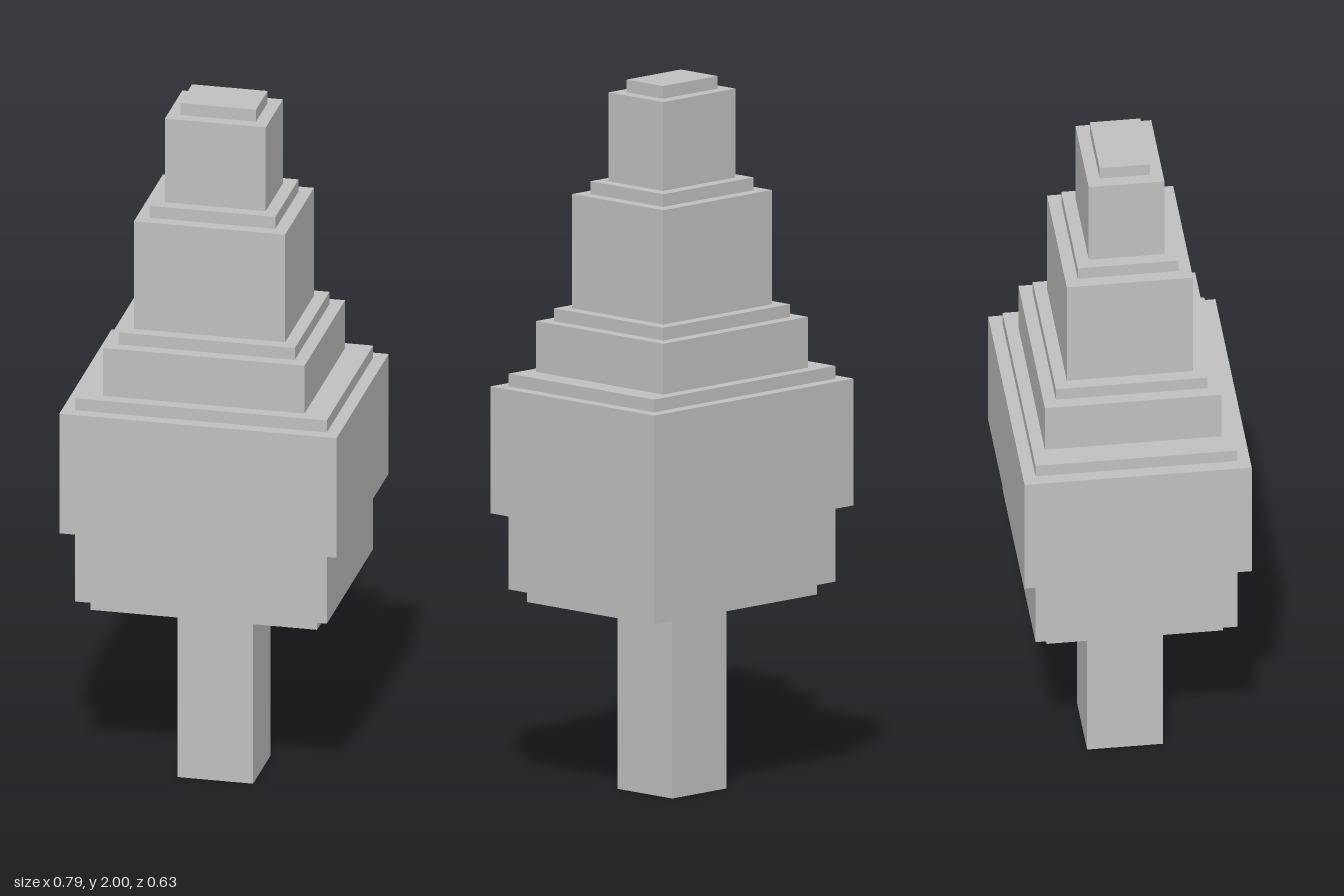
import * as THREE from 'three';

// Voxel size on each axis
const UX = 0.0358, UY = 2 / 56, UZ = 0.0352;

export function createModel() {
  const tree = new THREE.Group();
  tree.name = 'blockTree';
  const grey = new THREE.MeshStandardMaterial({ color: 0xc0c0c0 });
  grey.name = 'light grey';

  // Centred block: vertical span and half widths, counted in voxels
  const block = (name, y0, y1, halfX, halfZ) => {
    const geometry = new THREE.BoxGeometry(2 * halfX * UX, (y1 - y0) * UY, 2 * halfZ * UZ);
    const mesh = new THREE.Mesh(geometry, grey);
    mesh.name = name;
    mesh.position.y = (y0 + y1) / 2 * UY;
    return mesh;
  };

  tree.add(block('trunk', 0, 15, 3, 3));

  // Stepped foliage, bottom to top: [bottom, top, halfX, halfZ]
  const foliage = new THREE.Group();
  foliage.name = 'foliage';
  [
    [15, 16, 9, 7],
    [16, 22, 10, 8],
    [22, 32, 11, 9],
    [32, 33, 10, 8],
    [33, 37, 8, 7],
    [37, 38, 7, 6],
    [38, 47, 6, 5],
    [47, 48, 5, 4],
    [48, 55, 4, 3],
    [55, 56, 3, 2],
  ].forEach((tier, i) => foliage.add(block(`foliageTier${i + 1}`, ...tier)));
  tree.add(foliage);

  return tree;
}
